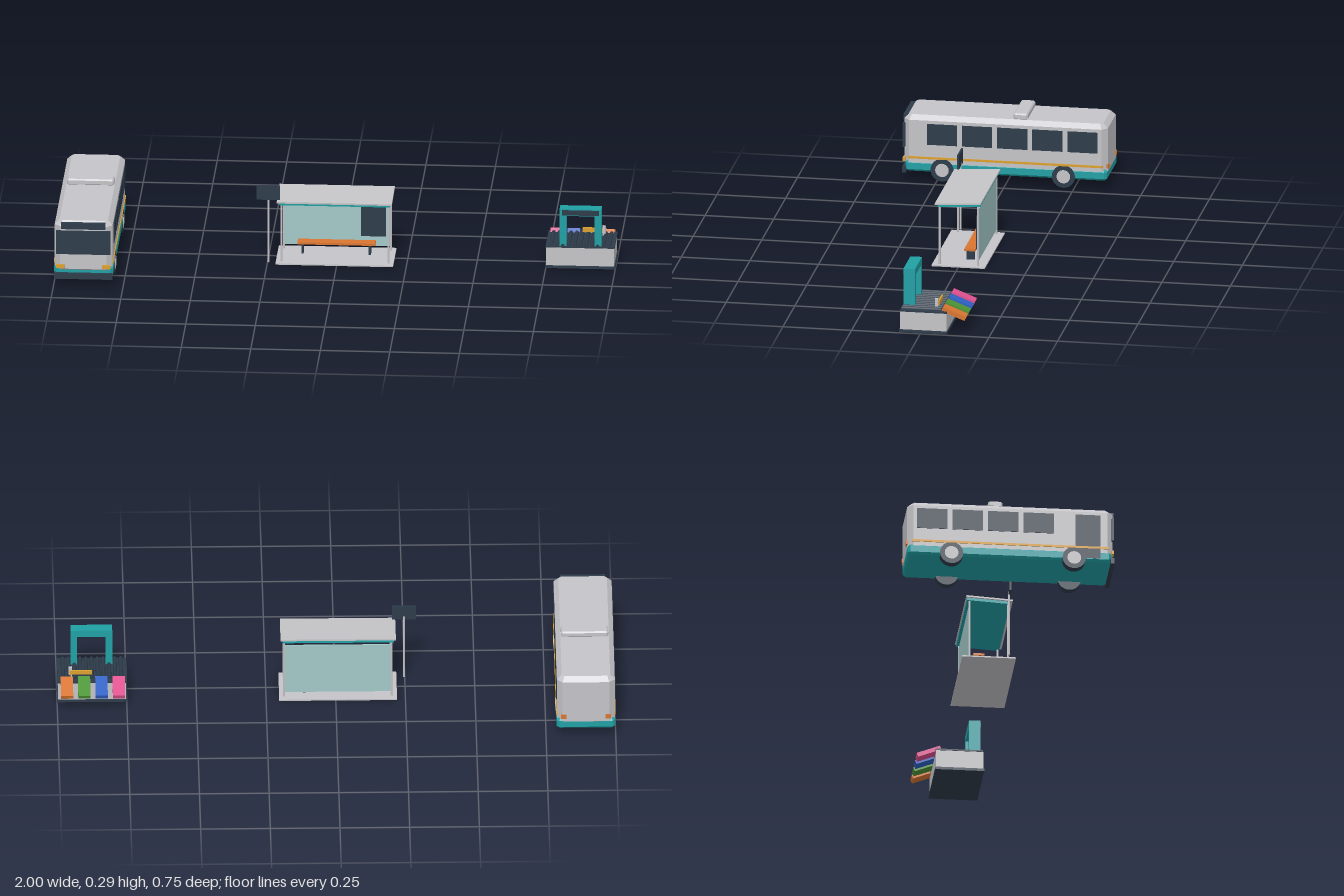
import * as THREE from 'three';

const mat = (name, color) => {
  const m = new THREE.MeshStandardMaterial({ color });
  m.name = name;
  return m;
};

export function createModel() {
  const grey = mat('light grey', 0xc4c4c8);
  const teal = mat('teal', 0x20a0a4);
  const navy = mat('dark navy', 0x2d3b4a);
  const glass = mat('pale glass', 0xa3c8c8);
  const orange = mat('orange', 0xd87530);
  const yellow = mat('amber', 0xdca030);
  const pink = mat('pink', 0xe0508f);
  const blue = mat('blue', 0x2f60c4);
  const green = mat('green', 0x4c9434);

  const root = new THREE.Group();
  root.name = 'transitScene';

  const group = (name) => {
    const g = new THREE.Group();
    g.name = name;
    root.add(g);
    return g;
  };
  const add = (parent, name, geo, material, x, y, z) => {
    const m = new THREE.Mesh(geo, material);
    m.name = name;
    m.position.set(x, y, z);
    parent.add(m);
    return m;
  };
  // Box given by its minimum and maximum on each axis
  const span = (parent, name, material, x0, x1, y0, y1, z0, z1) =>
    add(parent, name, new THREE.BoxGeometry(x1 - x0, y1 - y0, z1 - z0), material,
      (x0 + x1) / 2, (y0 + y1) / 2, (z0 + z1) / 2);
  const rod = (parent, name, material, r, h, x, y, z, sides = 10) =>
    add(parent, name, new THREE.CylinderGeometry(r, r, h, sides), material, x, y, z);

  // Box with every edge cut by c, centred on the origin
  const chamferBox = (w, h, d, c) => {
    const a = w / 2 - c, b = d / 2 - c, k = c * 0.6;
    const s = new THREE.Shape([
      [-a + k, -b], [a - k, -b], [a, -b + k], [a, b - k],
      [a - k, b], [-a + k, b], [-a, b - k], [-a, -b + k],
    ].map(([x, y]) => new THREE.Vector2(x, y)));
    const g = new THREE.ExtrudeGeometry(s, {
      depth: h - 2 * c, bevelEnabled: true, bevelSegments: 1, bevelSize: c, bevelThickness: c,
    });
    g.translate(0, 0, -(h - 2 * c) / 2);
    g.rotateX(-Math.PI / 2);
    return g;
  };

  // ---------- Bus ----------
  const bus = group('bus');
  bus.position.x = -0.893;
  add(bus, 'body', chamferBox(0.208, 0.196, 0.74, 0.017), grey, 0, 0.146, 0);
  add(bus, 'skirt', chamferBox(0.211, 0.04, 0.735, 0.008), teal, 0, 0.054, -0.002);
  add(bus, 'roofUnit', chamferBox(0.17, 0.024, 0.052, 0.005), grey, 0, 0.253, -0.052);

  for (const side of [-1, 1]) {
    add(bus, 'stripe', new THREE.BoxGeometry(0.005, 0.008, 0.71), yellow, side * 0.1045, 0.087, 0);
    for (let i = 0; i < 5; i++) {
      if (side < 0 && i === 0) continue;
      add(bus, 'sideWindow', new THREE.BoxGeometry(0.005, 0.078, 0.11), navy,
        side * 0.1035, 0.176, 0.2305 - i * 0.128);
    }
    for (const z of [0.23, -0.212]) {
      rod(bus, 'wheel', navy, 0.042, 0.03, side * 0.092, 0.044, z, 24).rotation.z = Math.PI / 2;
      rod(bus, 'hub', grey, 0.025, 0.004, side * 0.1065, 0.044, z, 16).rotation.z = Math.PI / 2;
    }
    span(bus, 'headlight', yellow, side * 0.083 - 0.015, side * 0.083 + 0.015, 0.068, 0.082, 0.367, 0.375);
    span(bus, 'tailLight', orange, side * 0.08 - 0.01, side * 0.08 + 0.01, 0.078, 0.094, -0.374, -0.367);
  }
  span(bus, 'door', navy, -0.1065, -0.101, 0.045, 0.215, 0.235, 0.325);
  span(bus, 'windscreen', navy, -0.098, 0.098, 0.122, 0.211, 0.367, 0.375);
  span(bus, 'destinationPanel', navy, -0.08, 0.08, 0.217, 0.239, 0.355, 0.375);
  span(bus, 'frontBumper', navy, -0.105, 0.105, 0.028, 0.05, 0.362, 0.376);

  // ---------- Shelter ----------
  const shelter = group('shelter');
  span(shelter, 'groundSlab', grey, -0.22, 0.203, 0, 0.005, -0.097, 0.097);
  for (const x of [-0.2, 0.185]) {
    rod(shelter, 'frontPost', grey, 0.004, 0.22, x, 0.114, 0.07);
    rod(shelter, 'backPost', grey, 0.004, 0.23, x, 0.119, -0.069);
  }
  span(shelter, 'backGlass', glass, -0.197, 0.182, 0.022, 0.215, -0.071, -0.066);
  span(shelter, 'posterPanel', navy, 0.078, 0.168, 0.06, 0.187, -0.066, -0.06);

  // Roof tilts up towards the back
  const roof = new THREE.Group();
  roof.name = 'shelterRoof';
  roof.position.set(-0.009, 0.232, 0.002);
  roof.rotation.x = 0.06;
  shelter.add(roof);
  span(roof, 'roofLining', teal, -0.2, 0.2, -0.008, 0.002, -0.08, 0.075);
  span(roof, 'roofTop', grey, -0.207, 0.207, 0.002, 0.008, -0.084, 0.084);

  span(shelter, 'benchSeat', orange, -0.148, 0.132, 0.041, 0.049, -0.05, -0.01);
  for (const x of [-0.13, 0.112]) {
    span(shelter, 'benchLeg', navy, x - 0.004, x + 0.004, 0.004, 0.041, -0.045, -0.015);
  }

  // ---------- Stop sign ----------
  const stop = group('stopSign');
  rod(stop, 'signPole', grey, 0.004, 0.25, -0.247, 0.125, 0.069);
  span(stop, 'signPlate', navy, -0.29, -0.205, 0.238, 0.292, 0.067, 0.074);

  // ---------- Sorting machine ----------
  const sorter = group('sorter');
  span(sorter, 'plinth', navy, 0.748, 1.0, 0.003, 0.013, -0.098, 0.078);
  span(sorter, 'cabinet', grey, 0.752, 0.996, 0.013, 0.08, -0.095, 0.075);
  span(sorter, 'deck', navy, 0.75, 0.998, 0.08, 0.086, -0.096, 0.074);
  for (let i = 0; i < 11; i++) {
    rod(sorter, 'roller', navy, 0.007, 0.145, 0.77 + i * 0.0208, 0.087, -0.002, 8).rotation.x = Math.PI / 2;
  }

  // Scanner arch
  for (const x of [0.812, 0.938]) {
    span(sorter, 'archLeg', teal, x - 0.012, x + 0.012, 0.084, 0.226, 0.028, 0.07);
  }
  span(sorter, 'archBeam', teal, 0.8, 0.95, 0.2, 0.226, 0.028, 0.07);
  span(sorter, 'scannerPanel', navy, 0.808, 0.942, 0.203, 0.222, 0.068, 0.073);

  // Diverter arm
  span(sorter, 'armPost', grey, 0.946, 0.958, 0.086, 0.122, -0.058, -0.046);
  span(sorter, 'diverterArm', yellow, 0.875, 0.955, 0.096, 0.112, -0.062, -0.056);

  // Output chutes sloping down behind
  [pink, blue, green, orange].forEach((m, i) => {
    const chute = add(sorter, 'chute', new THREE.BoxGeometry(0.044, 0.016, 0.09), m,
      0.779 + i * 0.062, 0.077, -0.12);
    chute.rotation.x = -0.37;
  });

  return root;
}
